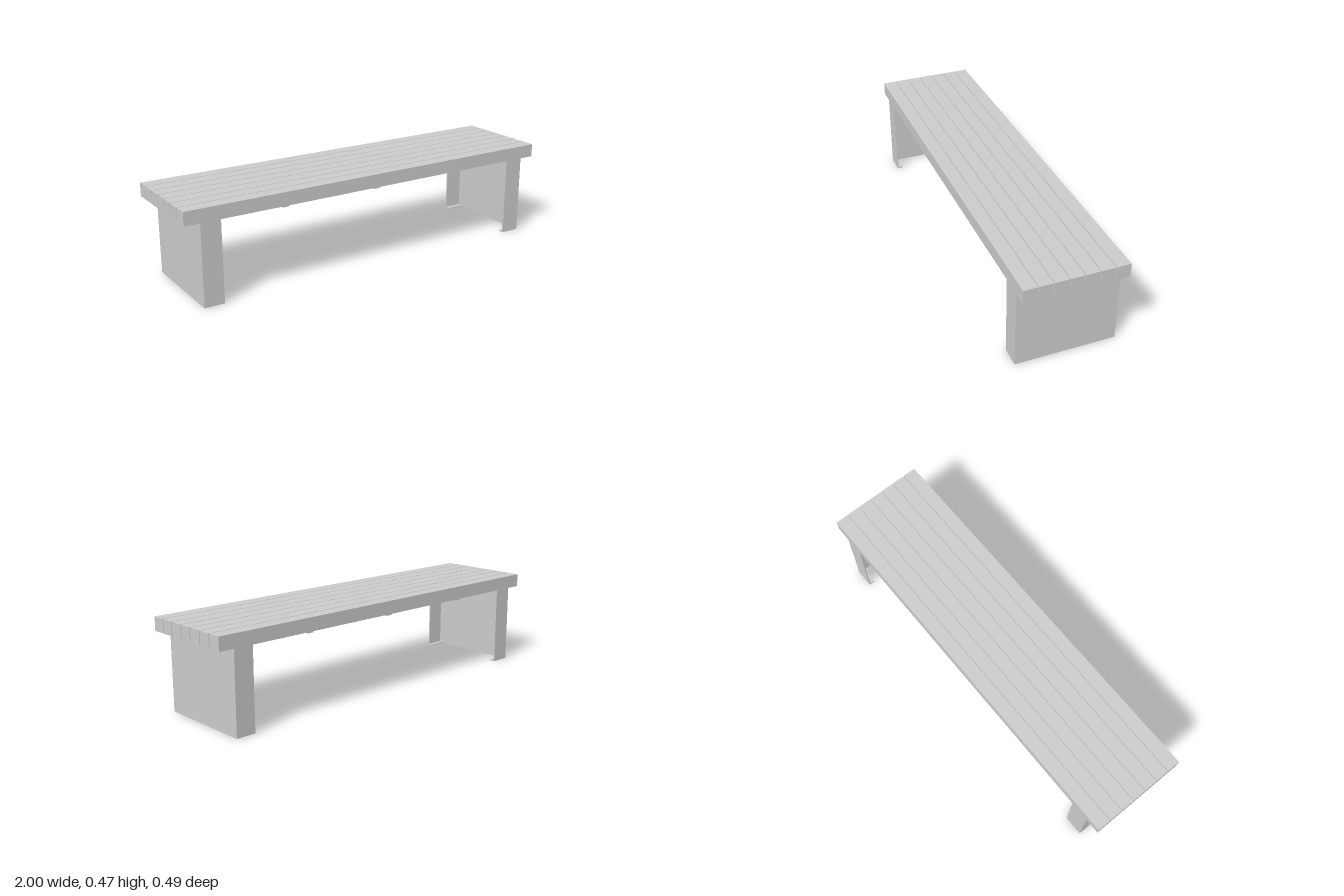
import * as THREE from 'three';

const material = new THREE.MeshStandardMaterial({ color: 0xcccccc });

function addBox(parent, name, size, position) {
  const mesh = new THREE.Mesh(new THREE.BoxGeometry(...size), material);
  mesh.name = name;
  mesh.position.set(...position);
  parent.add(mesh);
  return mesh;
}

export function createModel() {
  const bench = new THREE.Group();
  bench.name = 'bench';

  const seatBottom = 0.4;
  const slatHeight = 0.066;

  // Seven seat slats separated by narrow gaps
  const slats = new THREE.Group();
  slats.name = 'seatSlats';
  for (let i = -3; i <= 3; i++) {
    addBox(slats, 'slat', [2, slatHeight, 0.067], [0, seatBottom + slatHeight / 2, i * 0.0708]);
  }
  bench.add(slats);

  // Thin cross straps under the slats
  for (const x of [-0.5, 0, 0.5]) {
    addBox(bench, 'crossStrap', [0.034, 0.007, 0.478], [x, seatBottom - 0.0035, 0]);
  }

  // Folded sheet legs: outer panel, front and back flanges, small foot tabs
  const t = 0.006;
  const outer = 0.924;
  const flange = 0.099;
  const halfDepth = 0.244;
  const tab = 0.03;
  for (const side of [-1, 1]) {
    const leg = new THREE.Group();
    leg.name = side > 0 ? 'leftLeg' : 'rightLeg';
    addBox(leg, 'legPanel', [t, seatBottom, halfDepth * 2], [side * (outer - t / 2), seatBottom / 2, 0]);
    const flangeX = side * (outer - t - (flange - t) / 2);
    for (const end of [-1, 1]) {
      addBox(leg, 'legFlange', [flange - t, seatBottom, t],
        [flangeX, seatBottom / 2, end * (halfDepth - t / 2)]);
      addBox(leg, 'footTab', [flange - t, t, tab - t],
        [flangeX, t / 2, end * (halfDepth - t - (tab - t) / 2)]);
    }
    bench.add(leg);
  }

  return bench;
}
